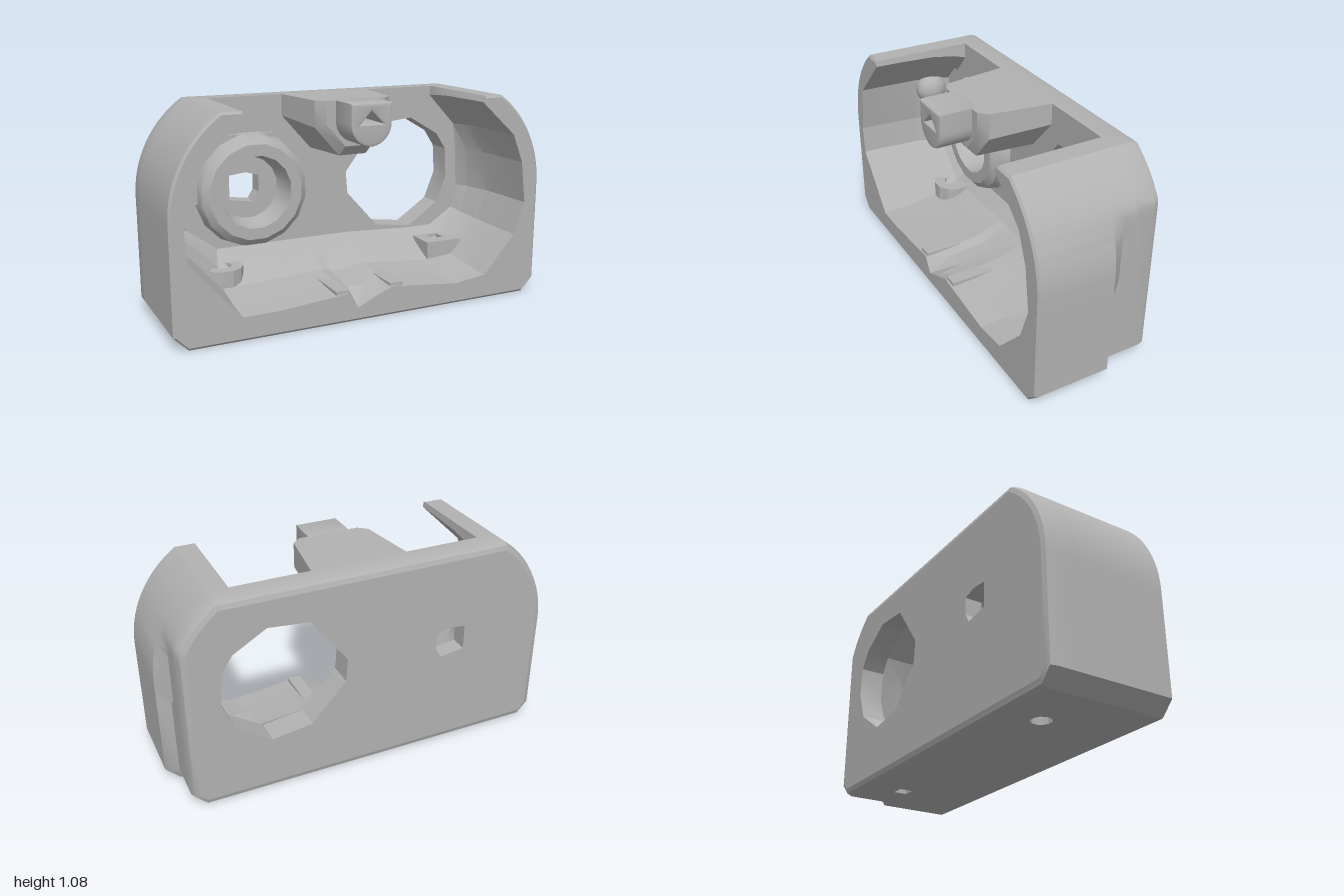
import * as THREE from 'three';
import { toCreasedNormals } from 'three/addons/utils/BufferGeometryUtils.js';

const grey = new THREE.MeshStandardMaterial({ color: 0xb2b2b2 });
grey.name = 'light grey';

// Skin between rings of 3D points; skip(layer, segment) leaves a gap.
function loft(rings, closed = true, skip = () => false) {
  const n = rings[0].length, idx = [];
  for (let k = 0; k < rings.length - 1; k++) {
    for (let i = 0; i < (closed ? n : n - 1); i++) {
      if (skip(k, i)) continue;
      const j = (i + 1) % n, a = k * n, b = a + n;
      idx.push(a + i, a + j, b + j, a + i, b + j, b + i);
    }
  }
  const g = new THREE.BufferGeometry();
  g.setAttribute('position', new THREE.Float32BufferAttribute(rings.flat(2), 3));
  g.setIndex(idx);
  return g;
}

// Flat face at depth z, facing +z (or -z when flipped).
function face(pts, holes, z, flip = false) {
  const v = p => p.map(q => new THREE.Vector2(q[0], q[1]));
  const s = new THREE.Shape(v(pts));
  s.holes = holes.map(h => new THREE.Path(v(h)));
  const g = new THREE.ShapeGeometry(s);
  if (flip) g.setIndex(Array.from(g.index.array).reverse());
  return g.translate(0, 0, z);
}

const at = (pts, z) => pts.map(p => [p[0], p[1], z]);
const polygon = (cx, cy, r, n, turn = 0) => Array.from({ length: n }, (_, i) => {
  const a = turn + i / n * Math.PI * 2;
  return [cx + r * Math.cos(a), cy + r * Math.sin(a)];
});

// Right half of the housing outline, bottom to top, clipped at x = X.
function half(X) {
  const pts = [[X - 0.07, 0], [X, 0.07], [X, 0.495], [X, 0.505]];
  for (let i = 0; i <= 14; i++) {
    const a = i / 14 * 0.975;
    pts.push([Math.min(X, 0.42 + 0.58 * Math.cos(a)), 0.6 + 0.58 * Math.sin(a)]);
  }
  pts.push([0.645, 1.08]);
  return pts;
}
const outline = X => [...half(1).reverse().map(([x, y]) => [-x, y]), ...half(X)];
function inset(pts, d) {
  const n = pts.length;
  return pts.map((p, i) => {
    const a = pts[(i + n - 1) % n], b = pts[(i + 1) % n];
    const tx = b[0] - a[0], ty = b[1] - a[1], l = Math.hypot(tx, ty);
    return [p[0] - ty / l * d, p[1] + tx / l * d];
  });
}

export function createModel() {
  const model = new THREE.Group();
  const add = (name, geo, crease = 0.5) => {
    const m = new THREE.Mesh(toCreasedNormals(geo, crease), grey);
    m.name = name;
    model.add(m);
    return m;
  };

  const back = outline(0.935), front = outline(1);
  const bottomSeg = back.length / 2 - 1;
  const bigHole = [[0.76, 0.56], [0.75, 0.72], [0.69, 0.81], [0.52, 0.91], [0.31, 0.89],
    [0.12, 0.64], [0.13, 0.52], [0.31, 0.32], [0.52, 0.29], [0.7, 0.41]];
  const smallHole = [[-0.53, 0.54], [-0.4, 0.52], [-0.37, 0.57], [-0.37, 0.66], [-0.44, 0.68], [-0.53, 0.67]];

  // Outer skin: closed around the back plate, open at the top in front of it
  add('backPlateRim', loft([at(inset(back, 0.035), -0.33), at(inset(back, 0.011), -0.322),
    at(back, -0.295), at(back, -0.2)], true, (k, i) => k === 2 && i === bottomSeg));
  const step = back.map(([x, y]) => [x, y, y > 0.5 ? -0.135 : -0.09]);
  const frontEdge = inset(front, 0.012);
  add('outerWall', loft([at(back, -0.2), step, at(front, -0.06), at(front, 0.32), at(frontEdge, 0.33)],
    false, (k, i) => k < 3 && i === bottomSeg));

  // Back plate faces and the large opening
  add('backFace', face(inset(back, 0.035), [bigHole, smallHole], -0.33, true));
  add('plateInnerFace', face(back, [bigHole, polygon(-0.43, 0.6, 0.2, 12)], -0.2));
  add('largeOpening', loft([at(bigHole, -0.2), at(bigHole, -0.33)]));

  // Cavity wall, tapering from the front frame to the plate
  const mouth = [[0.645, 1.08], [0.63, 1.05], [0.83, 0.87], [0.89, 0.72], [0.92, 0.5], [0.86, 0.33],
    [0.68, 0.13], [0.5, 0.11], [0.12, 0.15], [0.02, 0.13], [-0.07, 0.13], [-0.12, 0.15], [-0.5, 0.12],
    [-0.67, 0.12], [-0.92, 0.41], [-0.93, 0.56], [-0.88, 0.82], [-0.64, 1.05], [-0.645, 1.08]];
  const root = [[0.645, 1.08], [0.64, 1.03], [0.8, 0.86], [0.82, 0.72], [0.83, 0.5], [0.8, 0.37],
    [0.66, 0.28], [0.5, 0.28], [0.12, 0.3], [0.02, 0.3], [-0.07, 0.3], [-0.12, 0.3], [-0.5, 0.3],
    [-0.62, 0.3], [-0.78, 0.42], [-0.8, 0.56], [-0.8, 0.82], [-0.64, 1.0], [-0.645, 1.08]];
  const cavity = t => mouth.map((p, i) => [p[0] + (root[i][0] - p[0]) * t, p[1] + (root[i][1] - p[1]) * t]);
  const lip = cavity(0);
  lip[9][1] = 0.11;
  lip[10][1] = 0.07; // small notch in the front edge
  add('cavityWall', loft([at(cavity(1), -0.2), at(cavity(0.6), -0.13), at(cavity(0.2), 0),
    at(cavity(0.05), 0.2), at(lip, 0.33)], false), 0.2);
  add('frontFrame', face([...frontEdge, ...lip], [], 0.33));

  // Underside with two screw holes, each rising into a post
  const screws = [[-0.63, 12, 0.11], [0.63, 4, 0.15]];
  const holes = screws.map(([x, n]) => polygon(x, -0.1, 0.05, n, Math.PI / 4));
  add('underside', face([[-0.93, -0.295], [0.865, -0.295], [0.865, -0.09], [0.93, -0.06], [0.93, 0.32],
    [-0.93, 0.32]], holes, 0).rotateX(Math.PI / 2));
  screws.forEach(([x, n, r], i) => {
    const outer = polygon(x, -0.1, r, n, Math.PI / 4);
    add('screwPost', loft([at(holes[i], 0), at(holes[i], -0.24), at(outer, -0.24), at(outer, -0.05)])
      .rotateX(Math.PI / 2));
  });

  // Round boss with a recess and a small through hole
  const bossRing = (r, z) => at(polygon(-0.43, 0.6, r, 16, Math.PI / 16), z);
  const bossFloor = polygon(-0.43, 0.6, 0.165, 16, Math.PI / 16);
  add('boss', loft([bossRing(0.3, -0.2), bossRing(0.285, -0.13), bossRing(0.25, -0.1),
    bossRing(0.19, -0.1), at(bossFloor, -0.24)]));
  add('bossFloor', face(bossFloor, [smallHole], -0.24));
  add('bossHole', loft([at(smallHole, -0.24), at(smallHole, -0.33)]));

  // Low pad filling the corner beside the boss
  const pad = [[-0.8, 0.55], [-0.43, 0.55], [-0.25, 0.86], [-0.3, 0.89], [-0.62, 0.89], [-0.64, 0.91], [-0.8, 0.91]];
  const padHole = polygon(-0.43, 0.6, 0.2, 12);
  add('cornerPad', face([[-0.8, 0.55], [-0.7, 0.55], [-0.63, 0.76], [-0.53, 0.83], [-0.33, 0.83],
    ...pad.slice(3)], [], -0.175));
  add('cornerPadEdge', loft([at(pad.slice(2, 5), -0.2), at(pad.slice(2, 5), -0.175)], false));

  // Round bump on the side wall
  const bump = add('wallBump', new THREE.SphereGeometry(0.09, 16, 10), 0.7);
  bump.scale.x = 0.8;
  bump.position.set(-0.85, 0.76, -0.08);

  // Tapered tongue reaching forward from the top edge
  const tongue = (w, y0, z) => at([[0.36 * w, y0], [w, y0 + 0.18 * w / 0.25], [w, 1.08], [-w, 1.08],
    [-w, y0 + 0.18 * w / 0.25], [-0.36 * w, y0]], z);
  const tongueEnd = tongue(0.16, 0.85, 0.16);
  add('tongue', loft([tongue(0.25, 0.79, -0.21), tongue(0.205, 0.8, 0.12), tongueEnd]));
  add('tongueEnd', face(tongueEnd, [], 0.16));

  // Rounded tip with a triangular recess
  const tip = new THREE.Shape();
  tip.moveTo(0.11, 1.08);
  tip.lineTo(-0.11, 1.08);
  tip.lineTo(-0.11, 0.98);
  tip.absarc(0, 0.98, 0.11, Math.PI, Math.PI * 2, false);
  tip.closePath();
  tip.holes.push(new THREE.Path([[-0.06, 0.98], [0, 1.04], [0.06, 0.98]].map(p => new THREE.Vector2(...p))));
  add('tongueTip', new THREE.ExtrudeGeometry(tip, { depth: 0.19, curveSegments: 10, bevelEnabled: true,
    bevelSize: 0.012, bevelThickness: 0.012, bevelOffset: -0.012, bevelSegments: 2 }).translate(0, 0, 0.128));

  // Pair of ribs on the cavity floor
  for (const s of [-1, 1]) {
    const rib = add('floorRib', new THREE.BoxGeometry(0.07, 0.07, 0.43));
    rib.position.set(s * 0.15, 0.13, 0.105);
  }
  return model;
}
